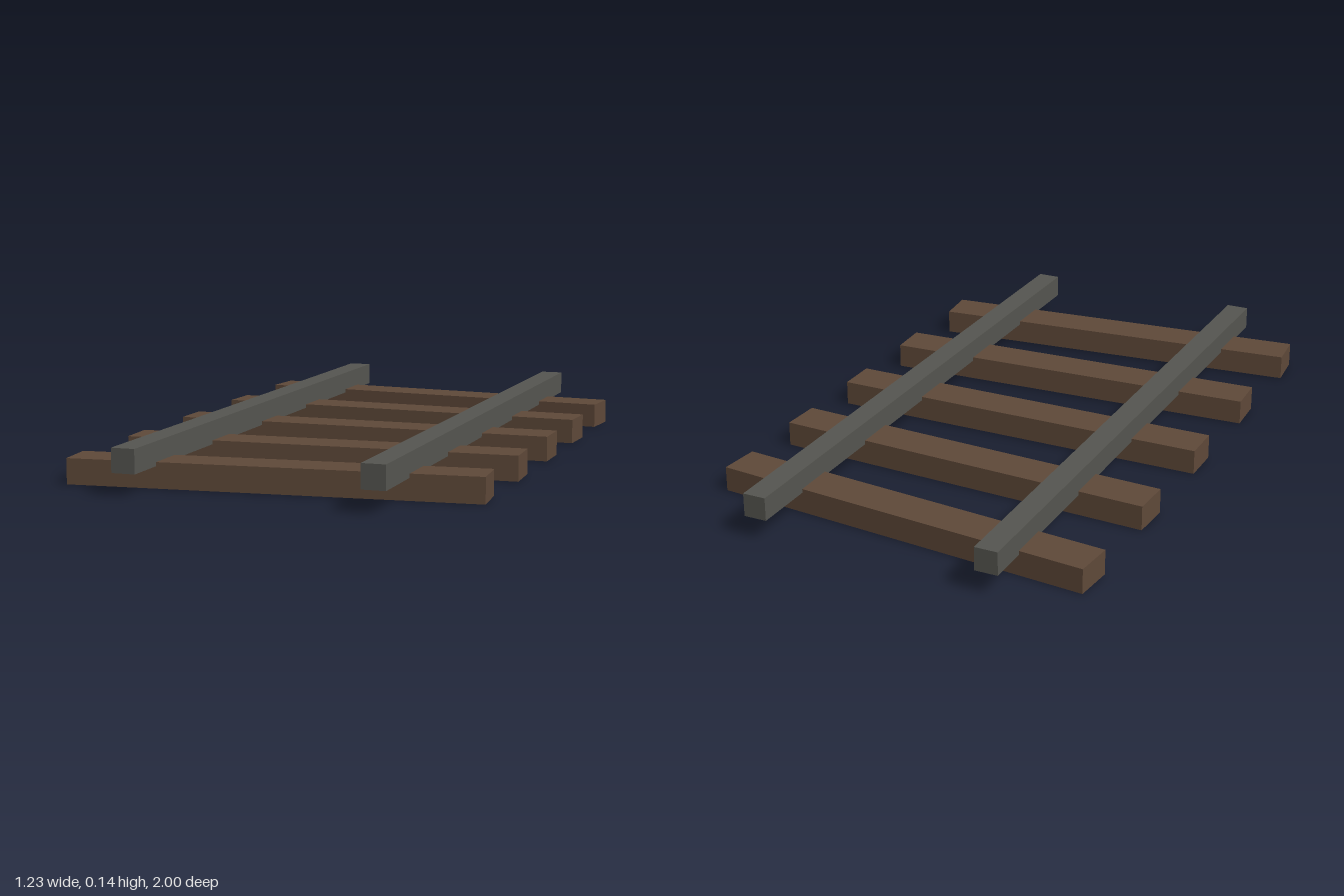
import * as THREE from 'three';

export function createModel() {
  const track = new THREE.Group();
  track.name = 'railTrack';

  const wood = new THREE.MeshStandardMaterial({ color: 0x5f4939 });
  wood.name = 'brown wood';
  const iron = new THREE.MeshStandardMaterial({ color: 0x555550 });
  iron.name = 'grey iron';

  // Sleepers, fanned a little more towards each end
  const sleeperShape = new THREE.BoxGeometry(1.228, 0.077, 0.128);
  for (let i = -2; i <= 2; i++) {
    const sleeper = new THREE.Mesh(sleeperShape, wood);
    sleeper.name = `sleeper${i + 3}`;
    sleeper.position.set(0, 0.0385, i * 0.384);
    sleeper.rotation.y = i * 0.045;
    track.add(sleeper);
  }

  // Two rails, slightly sunk into the sleepers
  const railShape = new THREE.BoxGeometry(0.072, 0.072, 2);
  for (const side of [-1, 1]) {
    const rail = new THREE.Mesh(railShape, iron);
    rail.name = side > 0 ? 'leftRail' : 'rightRail';
    rail.position.set(side * 0.369, 0.101, 0);
    track.add(rail);
  }

  return track;
}
